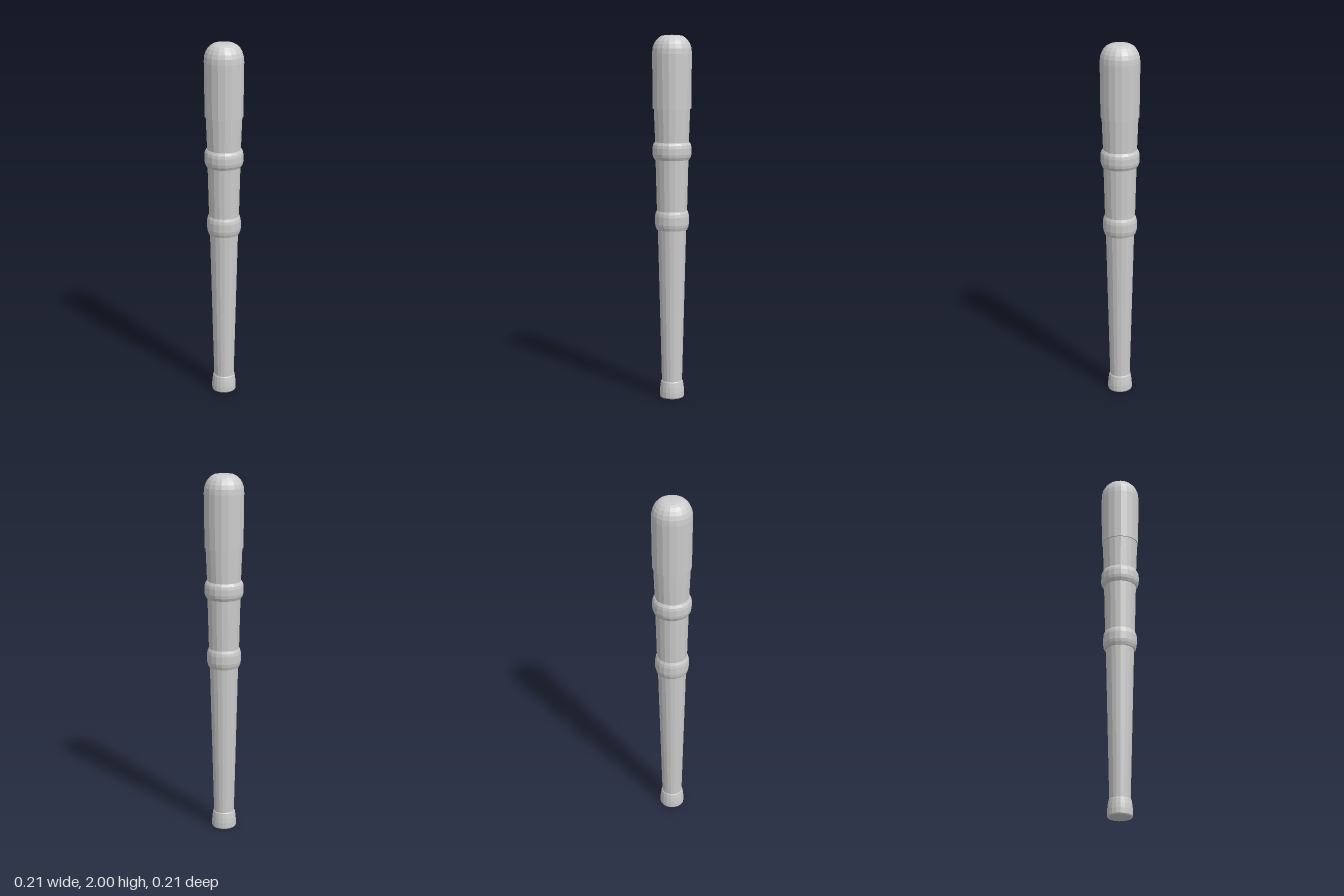
import * as THREE from 'three';

const SIDES = 18;

export function createModel() {
  const group = new THREE.Group();
  const material = new THREE.MeshStandardMaterial({ color: 0xcccccc, flatShading: true });

  // Turned part from [radius, height] pairs, listed bottom to top
  function turned(name, profile) {
    const points = profile.map(([r, y]) => new THREE.Vector2(r, y));
    const mesh = new THREE.Mesh(new THREE.LatheGeometry(points, SIDES), material);
    mesh.name = name;
    group.add(mesh);
  }

  // Raised band with rounded rims
  function band(name, y0, y1, inner, outer) {
    turned(name, [
      [inner - 0.01, y0], [inner + 0.004, y0], [outer - 0.003, y0 + 0.016],
      [outer, y0 + 0.032], [outer, y1 - 0.03], [outer - 0.003, y1 - 0.014],
      [inner + 0.004, y1], [inner - 0.01, y1],
    ]);
  }

  // Flared foot at the narrow end
  turned('buttCap', [
    [0, 0], [0.064, 0], [0.068, 0.006], [0.068, 0.035], [0.065, 0.065],
    [0.061, 0.09], [0.058, 0.095], [0.05, 0.095],
  ]);

  // Tapering shaft in three stages
  turned('lowerShaft', [[0.056, 0.085], [0.078, 0.96]]);
  turned('middleShaft', [[0.082, 1.03], [0.09, 1.35]]);
  turned('upperShaft', [[0.091, 1.41], [0.099, 1.62]]);

  band('lowerBand', 0.945, 1.05, 0.08, 0.093);
  band('upperBand', 1.33, 1.425, 0.091, 0.106);

  // Thick head closed by a rounded dome
  const head = [[0.095, 1.605], [0.104, 1.605], [0.107, 1.9]];
  for (let i = 1; i <= 6; i++) {
    const a = (i / 6) * Math.PI / 2;
    head.push([0.037 + 0.07 * Math.cos(a), 1.905 + 0.093 * Math.sin(a)]);
  }
  head.push([0, 2]);
  turned('head', head);

  return group;
}
